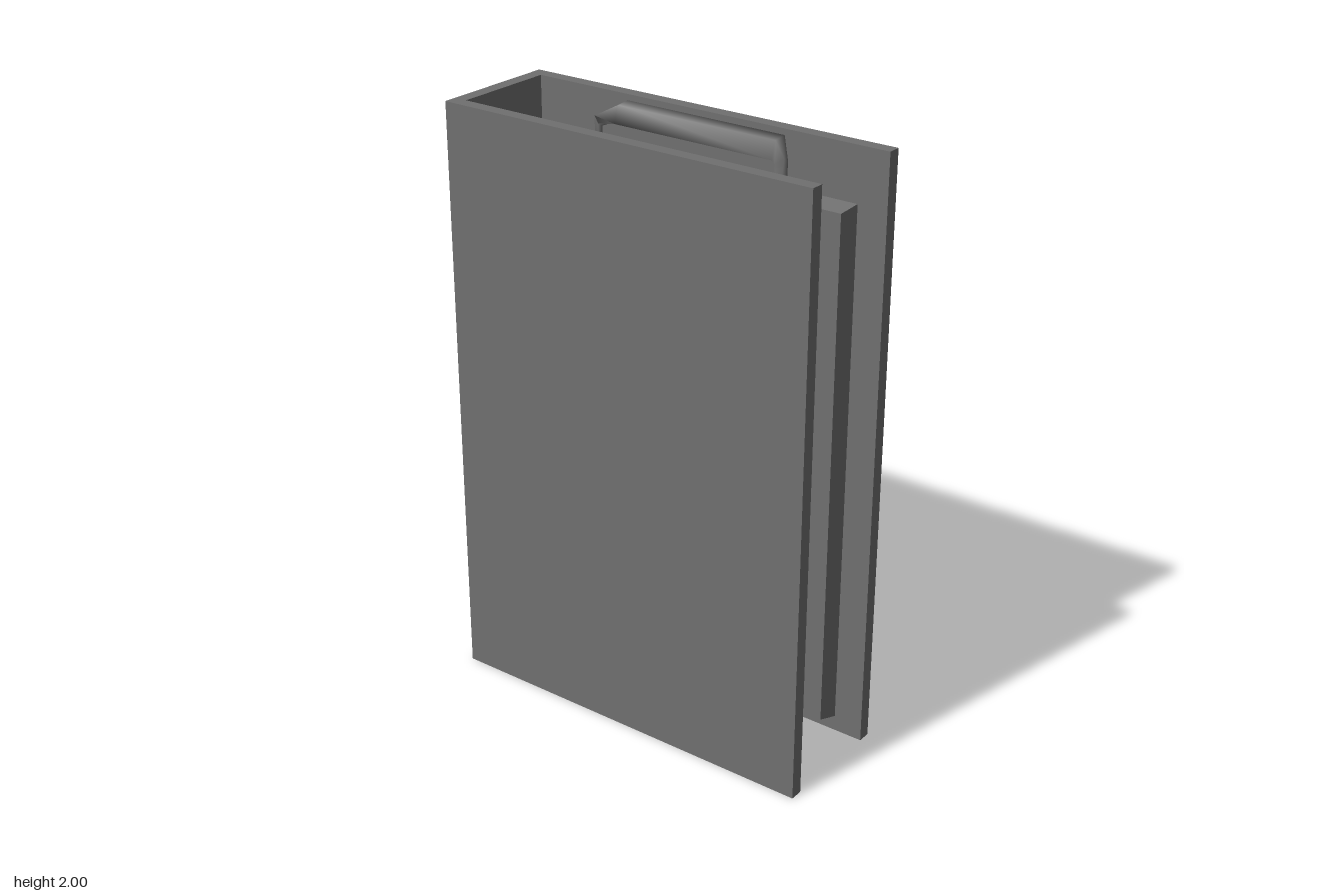
import * as THREE from 'three';
import { toCreasedNormals } from 'three/addons/utils/BufferGeometryUtils.js';

const darkGrey = new THREE.MeshStandardMaterial({ color: 0x707070 });

function part(name, geometry) {
  const mesh = new THREE.Mesh(geometry, darkGrey);
  mesh.name = name;
  return mesh;
}

// Raised pad on the inner face of a cover, bevelled towards the middle
function padGeometry(side) {
  const g = new THREE.BoxGeometry(0.068, 1.77, 1.1);
  const p = g.attributes.position;
  for (let i = 0; i < p.count; i++) {
    if (p.getX(i) * side > 0) continue;
    p.setY(i, p.getY(i) - Math.sign(p.getY(i)) * 0.015);
    p.setZ(i, p.getZ(i) - Math.sign(p.getZ(i)) * 0.015);
  }
  g.translate(side * 0.145, 0.938, 0.02);
  return toCreasedNormals(g, 0.1);
}

// Closed four-sided wire loop: mitred rings, each a centre with two half-axes
function clipGeometry(side) {
  const half = [
    { c: [0.143, 1.95, 0.2925], u: [0.033, 0.03, 0], v: [-0.014, 0.026, 0] },
    { c: [0.091, 1.927, 0.34], u: [0.017, 0.003, 0.012], v: [-0.004, 0.015, 0.012] },
    { c: [0.091, 1.67, 0.337], u: [0.02, 0, 0.005], v: [0, -0.02, 0.018] },
  ];
  const flip = ([x, y, z]) => [x, y, -z];
  const rings = [...half, ...half.slice().reverse().map(
    (r) => ({ c: flip(r.c), u: flip(r.u), v: flip(r.v) }))];
  const sides = 4, pos = [], index = [];
  rings.forEach(({ c, u, v }, r) => {
    for (let j = 0; j < sides; j++) {
      const a = (side * j / sides) * Math.PI * 2;
      const [x, y, z] = c.map((k, i) => k + u[i] * Math.cos(a) + v[i] * Math.sin(a));
      pos.push(side * x, y, z + 0.0175);
      const n = (r + 1) % rings.length, k = (j + 1) % sides;
      const A = r * sides + j, B = r * sides + k, C = n * sides + k, D = n * sides + j;
      index.push(A, B, C, A, C, D);
    }
  });
  const g = new THREE.BufferGeometry();
  g.setAttribute('position', new THREE.Float32BufferAttribute(pos, 3));
  g.setIndex(index);
  g.computeVertexNormals();
  return g;
}

export function createModel() {
  const model = new THREE.Group();
  model.name = 'folder';

  // Covers and spine as one U-shaped section, open at the front
  const outline = [
    [-0.22, 0.67], [0.22, 0.67], [0.22, -0.67], [0.176, -0.67],
    [0.176, 0.625], [-0.176, 0.625], [-0.176, -0.67], [-0.22, -0.67],
  ].map(([x, y]) => new THREE.Vector2(x, y));
  const shell = new THREE.ExtrudeGeometry(new THREE.Shape(outline), { depth: 2, bevelEnabled: false });
  shell.rotateX(-Math.PI / 2);
  model.add(part('coverAndSpine', shell));

  for (const side of [1, -1]) {
    const label = side > 0 ? 'left' : 'right';
    model.add(part(label + 'Pad', padGeometry(side)));
    model.add(part(label + 'Clip', clipGeometry(side)));
  }
  return model;
}
